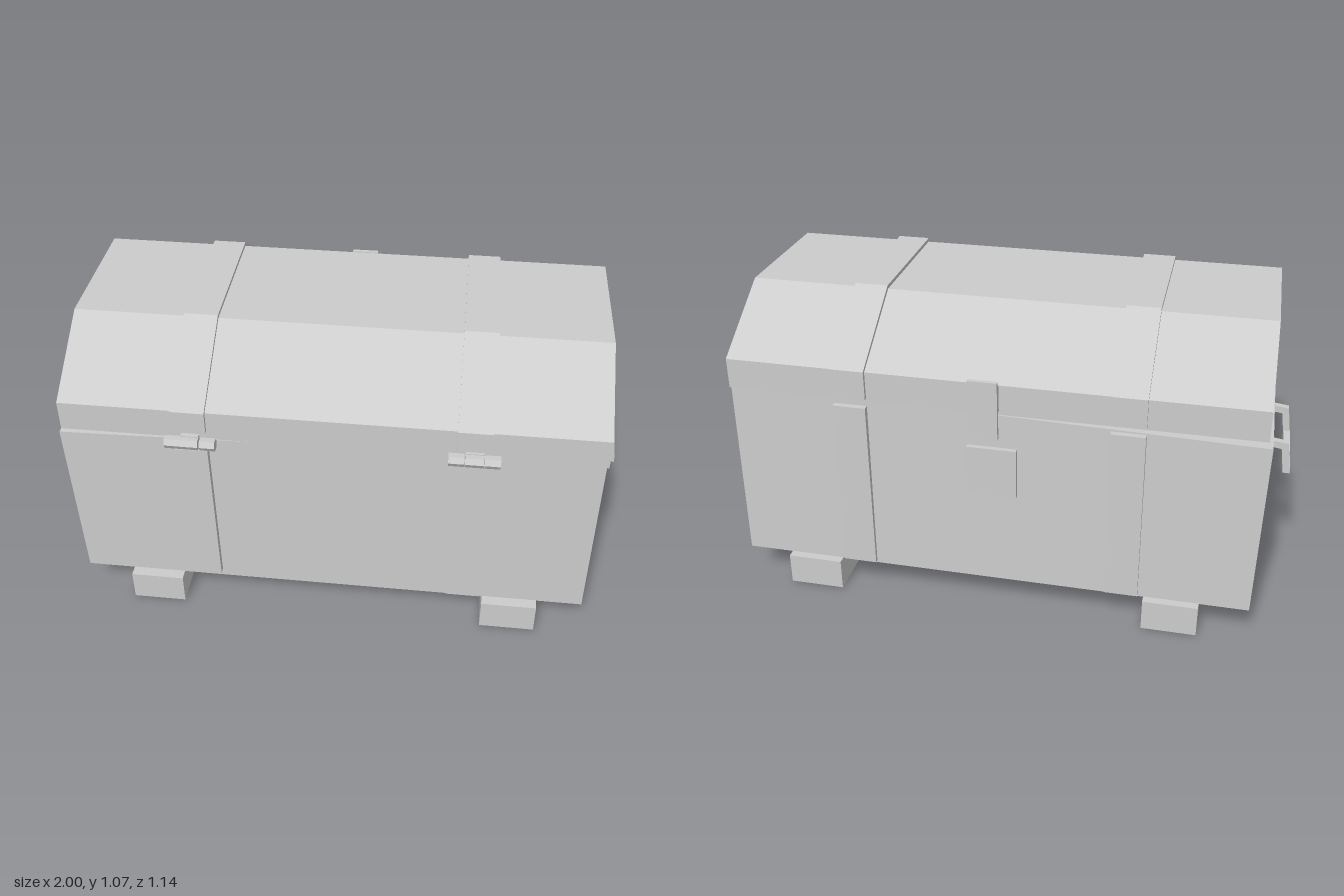
import * as THREE from 'three';

const grey = new THREE.MeshStandardMaterial({ color: 0xcccccc, flatShading: true, side: THREE.DoubleSide });
grey.name = 'plain grey';

function add(parent, name, geometry, x = 0, y = 0, z = 0) {
  const mesh = new THREE.Mesh(geometry, grey);
  mesh.name = name;
  mesh.position.set(x, y, z);
  parent.add(mesh);
  return mesh;
}

// Box given by its limits on each axis
function block(parent, name, [x0, x1], [y0, y1], [z0, z1]) {
  return add(parent, name, new THREE.BoxGeometry(x1 - x0, y1 - y0, z1 - z0),
    (x0 + x1) / 2, (y0 + y1) / 2, (z0 + z1) / 2);
}

// Extrude a [z, y] outline along x
function acrossX(outline, x0, x1) {
  const shape = new THREE.Shape(outline.map(([z, y]) => new THREE.Vector2(z, y)));
  return new THREE.ExtrudeGeometry(shape, { depth: x1 - x0, bevelEnabled: false })
    .rotateY(-Math.PI / 2).translate(x1, 0, 0);
}

// Square bar between two points
function bar(parent, name, a, b, size) {
  const from = new THREE.Vector3(...a), to = new THREE.Vector3(...b);
  const mesh = add(parent, name, new THREE.BoxGeometry(size, size, from.distanceTo(to) + size * 0.8));
  mesh.position.copy(from).lerp(to, 0.5);
  mesh.lookAt(to);
}

// Bail handle on two square plates
function makeHandle(name, side, y, zFront, zBack) {
  const handle = new THREE.Group();
  handle.name = name;
  const corners = [];
  for (const z of [zFront, zBack]) {
    const wall = side * 0.9, out = side * 0.972, tip = side * 0.985;
    const xs = [wall, side * 0.918].sort((a, b) => a - b);
    block(handle, 'handlePlate', xs, [y - 0.038, y + 0.038], [z - 0.038, z + 0.038]);
    bar(handle, 'handleArm', [wall, y + 0.005, z], [out, y - 0.005, z], 0.025);
    bar(handle, 'handleDrop', [out, y - 0.005, z], [tip, y - 0.1, z], 0.025);
    corners.push([tip, y - 0.1, z]);
  }
  bar(handle, 'handleGrip', corners[0], corners[1], 0.025);
  return handle;
}

export function createModel() {
  const chest = new THREE.Group();
  chest.name = 'chest';

  // Body: a box whose top tilts, leaving a gap under the lid at one end
  const bodyGeo = new THREE.BoxGeometry(1.81, 0.65, 1.055);
  const p = bodyGeo.attributes.position;
  for (let i = 0; i < p.count; i++) {
    const right = p.getX(i) < 0, top = p.getY(i) > 0, back = p.getZ(i) < 0;
    p.setXYZ(i,
      right ? (top ? -0.917 : -0.9) : 0.906,
      top ? (right ? 0.74 : 0.783) : 0.112,
      back ? (top ? -0.532 : -0.54) : 0.517);
  }
  add(chest, 'body', bodyGeo);

  // Lid with sloped shoulders
  const lidOutline = [[0.528, 0.765], [0.528, 0.872], [0.24, 1.056], [-0.25, 1.056], [-0.535, 0.872], [-0.535, 0.765]];
  add(chest, 'lid', acrossX(lidOutline, -0.903, 0.911));

  // Straps wrapping over the lid and down the front and back
  const strapOutline = [
    [0.54, 0.8], [0.54, 0.877], [0.244, 1.069], [-0.254, 1.069], [-0.547, 0.877], [-0.547, 0.775],
    [-0.53, 0.775], [-0.53, 0.87], [-0.248, 1.052], [0.238, 1.052], [0.523, 0.87], [0.523, 0.8]];
  for (const [x0, x1] of [[-0.52, -0.405], [0.42, 0.535]]) {
    add(chest, 'lidStrap', acrossX(strapOutline, x0, x1));
    block(chest, 'backStrap', [x0, x1], [0.12, 0.745], [-0.553, -0.525]);
  }
  const leftFront = block(chest, 'frontStrap', [-0.51, -0.4], [0.142, 0.72], [0.505, 0.54]);
  leftFront.rotation.z = 0.015;
  block(chest, 'frontStrap', [0.42, 0.54], [0.115, 0.735], [0.505, 0.523]);

  // Hinges: three short knuckles on each front strap
  for (const [x, y] of [[-0.46, 0.753], [0.48, 0.766]]) {
    for (const k of [-1, 0, 1]) {
      const knuckle = new THREE.CylinderGeometry(0.022, 0.022, k ? 0.052 : 0.062, 6).rotateZ(Math.PI / 2);
      add(chest, 'hingeKnuckle', knuckle, x + k * 0.059, y + (k ? -0.002 : 0.008), k ? 0.54 : 0.552);
    }
    block(chest, 'hingeLeaf', [x - 0.03, x + 0.03], [y, y + 0.03], [0.515, 0.545]);
  }

  // Latch at the back: a hanging clasp and a square plate
  block(chest, 'clasp', [-0.035, 0.065], [0.68, 0.89], [-0.56, -0.545]);
  block(chest, 'claspMount', [-0.035, 0.065], [0.78, 0.87], [-0.546, -0.53]);
  block(chest, 'latchPlate', [-0.095, 0.075], [0.46, 0.64], [-0.55, -0.53]);

  // Side handles
  chest.add(makeHandle('leftHandle', 1, 0.577, 0.122, -0.158));
  chest.add(makeHandle('rightHandle', -1, 0.545, 0.135, -0.135));

  // Runners: thin-walled troughs, open underneath
  for (const [x0, x1] of [[-0.73, -0.54], [0.55, 0.745]]) {
    const runner = new THREE.BoxGeometry(x1 - x0, 0.113, 1.125);
    const index = Array.from(runner.index.array);
    index.splice(18, 6); // drop the bottom face
    runner.setIndex(index);
    runner.clearGroups();
    add(chest, 'runner', runner, (x0 + x1) / 2, 0.0565, -0.007);
  }

  return chest;
}
